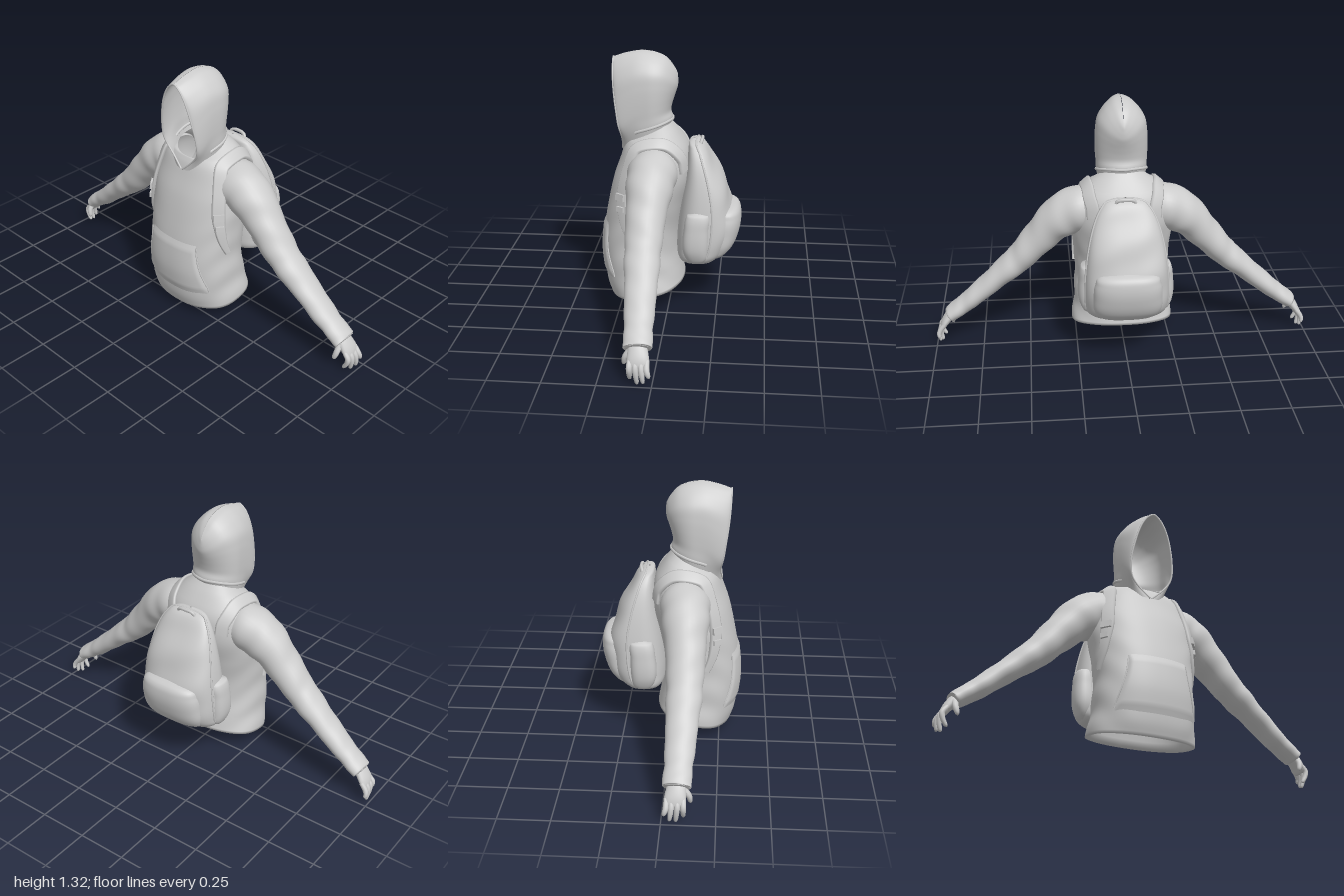
import * as THREE from 'three';

const V = (x, y, z) => new THREE.Vector3(x, y, z);
const mat = new THREE.MeshStandardMaterial({ color: 0xcccccc, side: THREE.DoubleSide });

// Smooth lookup: rows are [key, a, b, ...] with rising keys
const table = rows => k => {
  let i = 0;
  while (i < rows.length - 2 && k > rows[i + 1][0]) i++;
  const a = rows[i], b = rows[i + 1], p = rows[i - 1] || a, q = rows[i + 2] || b;
  const h = b[0] - a[0], t = THREE.MathUtils.clamp((k - a[0]) / h, 0, 1), s = 1 - t;
  return a.slice(1).map((_, n) => {
    const j = n + 1, m0 = (b[j] - p[j]) / (b[0] - p[0]) * h, m1 = (q[j] - a[j]) / (q[0] - a[0]) * h;
    return s * s * (1 + 2 * t) * a[j] + t * t * (3 - 2 * t) * b[j] + t * s * s * m0 - t * t * s * m1;
  });
};

// Skin a list of cross-sections
function loft(rings, closed = true) {
  const n = rings[0].length, idx = [];
  for (let i = 0; i < rings.length - 1; i++)
    for (let j = 0; j < (closed ? n : n - 1); j++) {
      const a = i * n + j, b = i * n + (j + 1) % n;
      idx.push(a, b, b + n, a, b + n, a + n);
    }
  const g = new THREE.BufferGeometry().setFromPoints(rings.flat());
  g.setIndex(idx);
  g.computeVertexNormals();
  return g;
}
const range = (n, f) => Array.from({ length: n + 1 }, (_, i) => f(i / n));
const ringOf = (n, f) => Array.from({ length: n }, (_, i) => f(i / n * Math.PI * 2));
const pow = (c, e) => Math.sign(c) * Math.abs(c) ** e;
const tube = (pts, r, n = 48) => new THREE.TubeGeometry(new THREE.CatmullRomCurve3(pts), n, r, 6);

function add(parent, name, geo) {
  const m = new THREE.Mesh(geo, mat);
  m.name = name;
  parent.add(m);
  return m;
}

// Limb with oval sections; rows [x, y, z, radius in the xy plane, radius along z]
function limb(rows, sides = 24, steps = 40, wrinkle = 0) {
  const at = table(rows.map((r, i) => [i, ...r])), last = rows.length - 1;
  return loft(range(steps, t => {
    const k = t * last, [x, y, z, r, rz] = at(k);
    const p = at(Math.max(k - 0.05, 0)), q = at(Math.min(k + 0.05, last));
    const T = V(q[0] - p[0], q[1] - p[1], q[2] - p[2]).normalize();
    const U = V(-T.y, T.x, 0).normalize(), W = T.clone().cross(U);
    return ringOf(sides, a => {
      const f = 1 + wrinkle * Math.sin(k * 5 + 2 * Math.sin(a)) * Math.cos(a + k);
      return V(x, y, z).addScaledVector(U, r * f * Math.cos(a)).addScaledVector(W, rz * f * Math.sin(a));
    });
  }));
}

// Torso: [height, tilt to the front, half width, front z, back z]
const torsoRow = table([
  [0.085, 0.035, 0.27, 0.312, -0.075], [0.14, 0.03, 0.265, 0.332, -0.065], [0.2, 0.02, 0.258, 0.342, -0.055],
  [0.3, 0.01, 0.252, 0.352, -0.042], [0.42, 0, 0.25, 0.342, -0.045], [0.55, 0, 0.26, 0.32, -0.07],
  [0.68, 0, 0.265, 0.29, -0.1], [0.78, 0, 0.25, 0.255, -0.1], [0.84, 0, 0.225, 0.235, -0.085],
  [0.88, 0.015, 0.19, 0.222, -0.05], [0.905, 0.03, 0.155, 0.215, -0.02], [0.916, 0.045, 0.125, 0.212, 0.005]]);
const EXP = 2.3;
function torsoAt(y, a, inset = 0) {
  const [tilt, w, zf, zb] = torsoRow(y), c = pow(Math.cos(a), 2 / EXP);
  return V((w - inset) * pow(Math.sin(a), 2 / EXP), y - tilt * c, (zf + zb) / 2 + ((zf - zb) / 2 - inset) * c);
}
function torsoNormal(y, a) {
  const da = torsoAt(y, a + 0.02).sub(torsoAt(y, a - 0.02)), dy = torsoAt(y + 0.005, a).sub(torsoAt(y - 0.005, a));
  return da.cross(dy).normalize();
}

// Hood: [level, half width, opening half width, front z, back z]
const hoodRow = table([
  [0, 0.125, 0.004, 0.25, 0], [0.1, 0.131, 0.06, 0.242, -0.01], [0.2, 0.132, 0.1, 0.245, 0],
  [0.3, 0.134, 0.116, 0.255, -0.004], [0.45, 0.135, 0.115, 0.265, -0.015], [0.6, 0.132, 0.103, 0.275, -0.026],
  [0.75, 0.121, 0.085, 0.283, -0.034], [0.87, 0.09, 0.062, 0.287, -0.036], [0.95, 0.055, 0.036, 0.289, -0.035],
  [0.985, 0.03, 0.019, 0.29, -0.034], [1, 0.001, 0.001, 0.29, -0.033]]);
const hoodTop = table([[-0.04, 1.19], [-0.02, 1.235], [0.03, 1.292], [0.13, 1.32], [0.22, 1.308], [0.29, 1.285]]);
function hoodAt(v, u) { // u: -1 and 1 are the edges of the opening, 0 the back
  const [w, o, zf, zb] = hoodRow(v), zc = 0.11, f = Math.abs(u) * Math.PI, s = u < 0 ? -1 : 1;
  const rear = f <= Math.PI / 2;
  const x = rear ? w * Math.sin(f) : o + (w - o) * Math.sin(f);
  const z = zc - Math.cos(f) * (rear ? zc - zb : zf - zc);
  const base = 0.95 - 0.35 * Math.max(z, 0) - 0.05 * THREE.MathUtils.smoothstep(z, 0.16, 0.25);
  return V(s * x, base + v * (hoodTop(z)[0] - base), z);
}

// Bag bodies: [height, half width, front z, back z]
const bagAt = (row, n) => (y, a) => {
  const [w, zf, zb] = row(y);
  return V(w * pow(Math.sin(a), 2 / n), y, (zf + zb) / 2 + (zf - zb) / 2 * pow(Math.cos(a), 2 / n));
};
const packAt = bagAt(table([
  [0.23, 0.01, -0.11, -0.13], [0.236, 0.13, -0.065, -0.21], [0.26, 0.195, -0.042, -0.255], [0.32, 0.213, -0.035, -0.3],
  [0.42, 0.215, -0.04, -0.322], [0.55, 0.205, -0.055, -0.315], [0.68, 0.182, -0.075, -0.267], [0.78, 0.15, -0.087, -0.215],
  [0.84, 0.112, -0.092, -0.177], [0.862, 0.075, -0.097, -0.15], [0.87, 0.005, -0.115, -0.125]]), 2.7);
const pocketAt = bagAt(table([
  [0.245, 0.01, -0.22, -0.24], [0.255, 0.12, -0.19, -0.265], [0.31, 0.168, -0.18, -0.325], [0.4, 0.175, -0.18, -0.36],
  [0.48, 0.165, -0.2, -0.366], [0.525, 0.13, -0.22, -0.347], [0.54, 0.01, -0.27, -0.3]]), 2.5);

// Flat band following the torso; path of [height, angle]
function strap(side) {
  const at = table([[0, 0.4, 1.45], [1, 0.5, 1.2], [2, 0.62, 1.0], [3, 0.74, 0.93], [4, 0.82, 0.95],
    [5, 0.865, 1.12], [6, 0.882, 1.57], [7, 0.868, 2.1], [8, 0.81, 2.45], [9, 0.74, 2.55]]);
  const on = k => { const [y, a] = at(k); return torsoAt(y, a * side); };
  return loft(range(70, t => {
    const k = t * 9, [y, a] = at(k), P = on(k), N = torsoNormal(y, a * side);
    const T = on(Math.min(k + 0.1, 9)).sub(on(Math.max(k - 0.1, 0))).normalize();
    const B = T.cross(N).normalize(), w = k < 2 ? 0.016 + 0.009 * k : 0.034;
    return [[-1, -0.01], [-1, 0.008], [-0.75, 0.014], [0.75, 0.014], [1, 0.008], [1, -0.01]].map(([b, n]) =>
      P.clone().addScaledVector(B, -b * w).addScaledVector(N, n));
  }));
}

function createModel() {
  const group = new THREE.Group();

  // Sweater body with a turned-in hem
  const inner = range(8, t => ringOf(72, a => torsoAt(0.36 - 0.27 * t, a, 0.022)));
  const outer = range(60, t => ringOf(72, a => {
    const y = 0.085 + 0.831 * t, p = torsoAt(y, a);
    const fold = 0.004 * Math.sin(y * 38 + 3 * Math.cos(2 * a)) * Math.sin(a) ** 2 * (1 - t);
    return p.addScaledVector(torsoNormal(Math.min(y, 0.9), a), fold);
  }));
  add(group, 'sweaterBody', loft([...inner, ...outer]));

  // Front pouch pocket, raised off the body, with piped hand openings
  const pouchEdge = table([[0.17, 0.212], [0.21, 0.207], [0.28, 0.187], [0.36, 0.166], [0.45, 0.152]]);
  const pouchAngle = y => Math.asin((pouchEdge(y)[0] / torsoRow(y)[1]) ** (EXP / 2));
  add(group, 'pouchPocket', loft(range(24, t => range(40, s => {
    const y = 0.18 + 0.27 * t, a = pouchAngle(y) * (2 * s - 1);
    const lift = 0.009 * Math.min(1, 8 * (1 - Math.abs(2 * s - 1)), 8 * t, 8 * (1 - t));
    return torsoAt(y, a).addScaledVector(torsoNormal(y, a), lift);
  })), false));

  // Hood, its rim and the collar roll
  add(group, 'hood', loft(range(48, v => range(56, u => hoodAt(1 - (1 - v) ** 1.5, 1 - 2 * u))), false));
  const edge = range(20, v => hoodAt(v, 1));
  const mirrored = edge.slice(0, -1).reverse().map(p => V(-p.x, p.y, p.z));
  add(group, 'hoodRim', tube([...edge, ...mirrored], 0.005, 90));
  add(group, 'collarRoll', tube(range(24, u => hoodAt(0.08, 1.3 * u - 0.65)), 0.008));

  // Left and mirrored right side
  for (const side of [1, -1]) {
    const arm = new THREE.Group();
    arm.name = side > 0 ? 'leftArm' : 'rightArm';
    arm.scale.x = side;
    group.add(arm);
    add(arm, 'sleeve', limb([
      [0.16, 0.75, 0.075, 0.115, 0.12], [0.25, 0.735, 0.075, 0.122, 0.124], [0.34, 0.682, 0.08, 0.106, 0.112],
      [0.43, 0.59, 0.085, 0.088, 0.098], [0.52, 0.49, 0.087, 0.076, 0.09], [0.6, 0.418, 0.085, 0.067, 0.085],
      [0.7, 0.335, 0.08, 0.056, 0.077], [0.8, 0.25, 0.076, 0.05, 0.07], [0.87, 0.198, 0.072, 0.044, 0.066],
      [0.922, 0.16, 0.07, 0.04, 0.068], [0.92, 0.162, 0.07, 0.028, 0.05]], 32, 80, 0.035));
    add(arm, 'palm', limb([[0.9, 0.185, 0.07, 0.026, 0.04], [0.93, 0.15, 0.068, 0.025, 0.046],
      [0.955, 0.115, 0.064, 0.021, 0.05], [0.97, 0.085, 0.062, 0.013, 0.045], [0.973, 0.078, 0.062, 0.001, 0.01]], 20, 24));
    // Fingers: [root z, tip x, tip y, tip z]
    for (const [z, x, y, tz] of [[0.102, 0.957, 0.018, 0.102], [0.075, 0.972, 0.003, 0.068],
      [0.048, 0.982, 0.012, 0.04], [0.024, 0.986, 0.04, 0.014]])
      add(arm, 'finger', limb([[0.955, 0.115, z, 0.012, 0.012], [0.978, 0.085, z, 0.0135, 0.014],
        [(0.988 + x) / 2, 0.045 + y / 2, (z + tz) / 2, 0.012, 0.0125],
        [x, y + 0.008, tz, 0.009, 0.009], [x - 0.002, y, tz, 0.001, 0.001]], 10, 16));
    add(arm, 'thumb', limb([[0.925, 0.15, 0.1, 0.015, 0.016], [0.926, 0.115, 0.125, 0.015, 0.014],
      [0.918, 0.082, 0.132, 0.011, 0.011], [0.914, 0.07, 0.13, 0.001, 0.001]], 10, 16));

    add(group, 'shoulderStrap', strap(side));
    for (const [y, a, s] of [[0.62, 1.0, 1], [0.56, 1.08, 0.75]]) {
      const buckle = add(group, 'strapBuckle', new THREE.BoxGeometry(0.055 * s, 0.035 * s, 0.022));
      buckle.position.copy(torsoAt(y, a * side)).addScaledVector(torsoNormal(y, a * side), 0.014);
      buckle.lookAt(buckle.position.clone().add(torsoNormal(y, a * side)));
    }
    add(group, 'pocketPiping', tube(range(12, t => {
      const y = 0.19 + 0.25 * t;
      return torsoAt(y, side * pouchAngle(y)).addScaledVector(torsoNormal(y, side * pouchAngle(y)), 0.003);
    }), 0.004));

    // Backpack side pocket with a flat top edge
    const sideAt = bagAt(table([[0.26, 0.01, -0.13, -0.15], [0.275, 0.03, -0.1, -0.19], [0.34, 0.053, -0.075, -0.205],
      [0.44, 0.052, -0.08, -0.208], [0.525, 0.035, -0.1, -0.205], [0.535, 0.005, -0.14, -0.16]]), 2.5);
    const pocket = add(group, 'sidePocket', loft(range(24, t => ringOf(28, a => sideAt(0.26 + 0.275 * t, a)))));
    pocket.position.x = side * 0.192;
  }

  // Backpack
  add(group, 'backpackBody', loft(range(60, t => ringOf(56, a => {
    const y = 0.23 + 0.64 * (0.5 - 0.5 * Math.cos(Math.PI * t)), p = packAt(y, a);
    p.z -= 0.006 * Math.sin(y * 30 + 2 * Math.sin(a)) * Math.max(0, -Math.cos(a)) * Math.sin(Math.PI * t);
    return p;
  }))));
  add(group, 'backpackFrontPocket', loft(range(40, t =>
    ringOf(48, a => pocketAt(0.245 + 0.295 * (0.5 - 0.5 * Math.cos(Math.PI * t)), a)))));
  const seam = range(20, t => packAt(0.3 + 0.555 * t, 1.75));
  add(group, 'backpackZip', tube([...seam, ...seam.slice().reverse().map(p => V(-p.x, p.y, p.z))], 0.006, 90));
  add(group, 'carryHandle', tube([V(-0.055, 0.84, -0.15), V(-0.04, 0.866, -0.158), V(0, 0.872, -0.162),
    V(0.04, 0.866, -0.158), V(0.055, 0.84, -0.15)], 0.009, 24));
  return group;
}

export { createModel };
